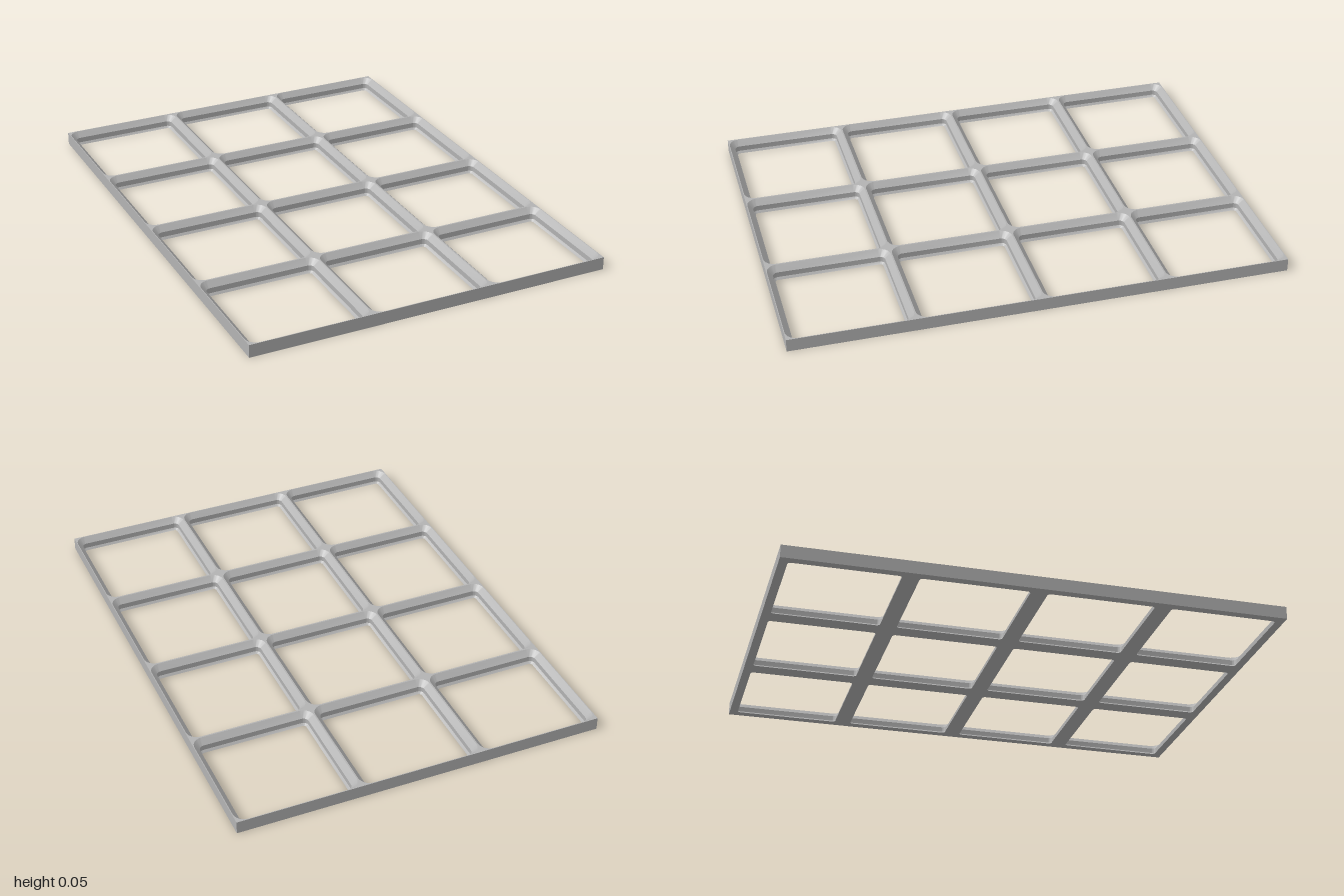
import * as THREE from 'three';
import { toCreasedNormals } from 'three/addons/utils/BufferGeometryUtils.js';

const COLS = 3, ROWS = 4, CELL = 0.5, HEIGHT = 0.0524, CORNER = 0.0476;
const WIDTH = COLS * CELL, DEPTH = ROWS * CELL;

// Pocket wall profile from top to bottom: [inset from the cell edge, height]
const PROFILE = [[0.003, HEIGHT], [0.0256, 0.0298], [0.0256, 0.0083], [0.034, 0]];

// Rounded rectangle outline, counterclockwise; radius 0 gives four square corners
function outline(width, depth, radius) {
  const points = [], steps = radius > 0 ? 8 : 0;
  [[1, 1], [-1, 1], [-1, -1], [1, -1]].forEach(([sx, sy], corner) => {
    for (let i = 0; i <= steps; i++) {
      const angle = (corner + (steps ? i / steps : 0)) * Math.PI / 2;
      points.push(new THREE.Vector2(
        sx * (width / 2 - radius) + radius * Math.cos(angle),
        sy * (depth / 2 - radius) + radius * Math.sin(angle)));
    }
  });
  return points;
}

const pocketOutline = (inset) => outline(CELL - 2 * inset, CELL - 2 * inset, CORNER - inset);

// Wall strip through stacked outlines; upward order faces out, downward order faces in
function loft(levels) {
  const positions = [], index = [], n = levels[0].points.length;
  for (const { points, y } of levels) {
    for (const p of points) positions.push(p.x, y, -p.y);
  }
  for (let l = 0; l < levels.length - 1; l++) {
    for (let i = 0; i < n; i++) {
      const a = l * n + i, b = l * n + (i + 1) % n;
      index.push(a, b, b + n, a, b + n, a + n);
    }
  }
  const geometry = new THREE.BufferGeometry();
  geometry.setAttribute('position', new THREE.Float32BufferAttribute(positions, 3));
  geometry.setIndex(index);
  return toCreasedNormals(geometry, Math.PI / 6);
}

function cellCentres() {
  const centres = [];
  for (let r = 0; r < ROWS; r++) {
    for (let c = 0; c < COLS; c++) {
      centres.push([(c - (COLS - 1) / 2) * CELL, (r - (ROWS - 1) / 2) * CELL]);
    }
  }
  return centres;
}

// Flat lattice face with one rounded hole per cell
function lattice(inset) {
  const shape = new THREE.Shape(outline(WIDTH, DEPTH, 0));
  for (const [x, z] of cellCentres()) {
    const hole = pocketOutline(inset).map((p) => new THREE.Vector2(p.x + x, p.y + z));
    shape.holes.push(new THREE.Path(hole.reverse()));
  }
  return new THREE.ShapeGeometry(shape);
}

export function createModel() {
  const group = new THREE.Group();
  group.name = 'gridBaseplate';
  const grey = new THREE.MeshStandardMaterial({ color: 0xb3b3b3 });
  grey.name = 'grey';

  const add = (name, geometry) => {
    const mesh = new THREE.Mesh(geometry, grey);
    mesh.name = name;
    group.add(mesh);
    return mesh;
  };

  // Narrow top ridges and wider underside
  add('topRidges', lattice(PROFILE[0][0]).rotateX(-Math.PI / 2).translate(0, HEIGHT, 0));
  add('underside', lattice(PROFILE[3][0]).rotateX(Math.PI / 2));

  // Square outer rim
  const rim = outline(WIDTH, DEPTH, 0);
  add('outerRim', loft([{ points: rim, y: 0 }, { points: rim, y: HEIGHT }]));

  // Stepped, chamfered wall around every opening
  const wall = loft(PROFILE.map(([inset, y]) => ({ points: pocketOutline(inset), y })));
  cellCentres().forEach(([x, z], i) => {
    add(`pocketWall${i + 1}`, wall).position.set(x, 0, z);
  });

  return group;
}
